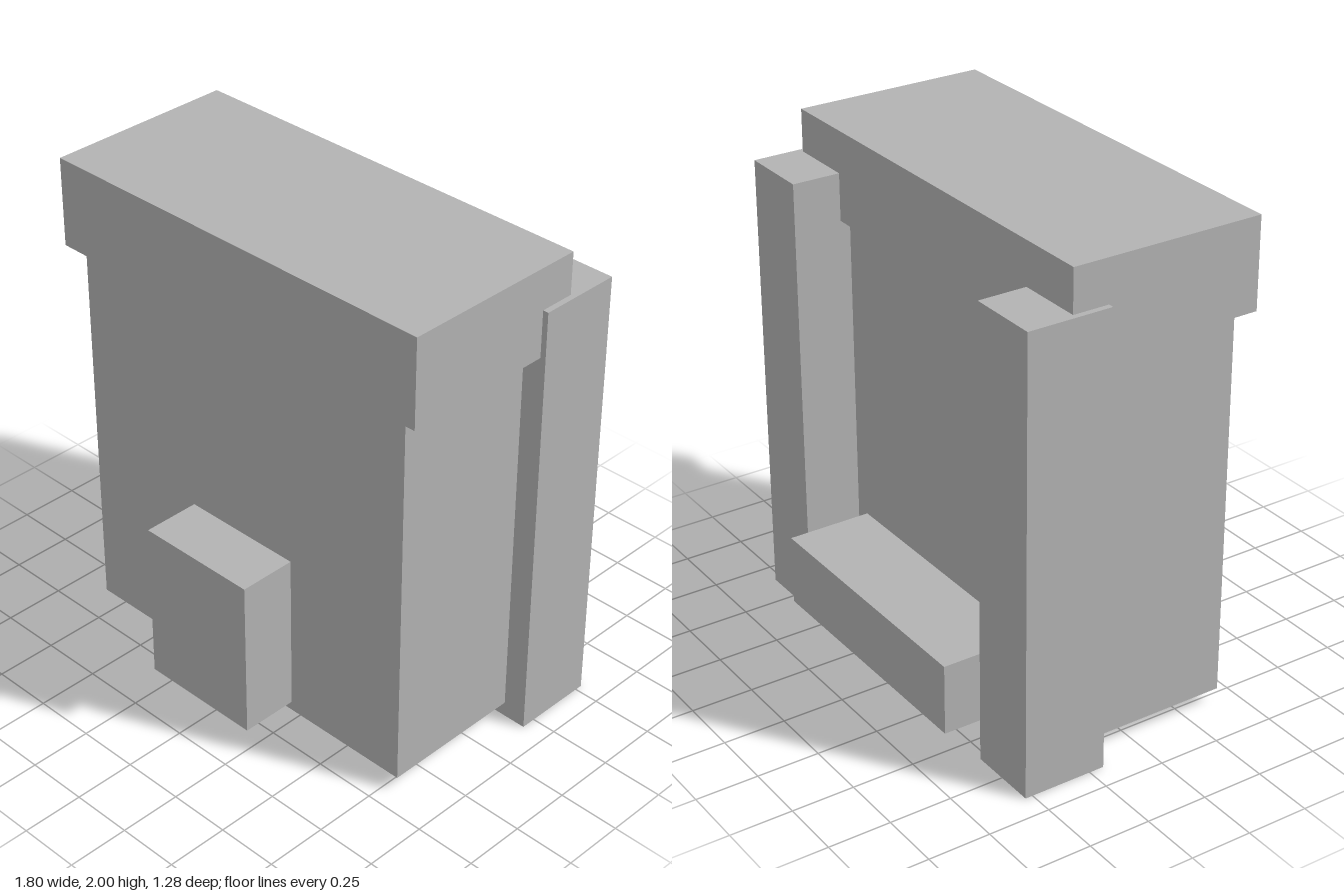
import * as THREE from 'three';

const grey = new THREE.MeshStandardMaterial({ color: 0xb2b2b2 });
grey.name = 'grey';

// Box given by its lower and upper limits on each axis
function block(name, [x0, x1], [y0, y1], [z0, z1]) {
  const mesh = new THREE.Mesh(new THREE.BoxGeometry(x1 - x0, y1 - y0, z1 - z0), grey);
  mesh.position.set((x0 + x1) / 2, (y0 + y1) / 2, (z0 + z1) / 2);
  mesh.name = name;
  return mesh;
}

export function createModel() {
  const model = new THREE.Group();
  model.name = 'model';

  // Main body with an overhanging cap
  model.add(block('body', [-0.803, 0.803], [0.062, 1.64], [-0.295, 0.407]));
  model.add(block('cap', [-0.877, 0.877], [1.64, 2], [-0.335, 0.443]));

  // Panel at the front, bar at the back
  model.add(block('frontPanel', [-0.256, 0.256], [0.1, 0.76], [0.407, 0.64]));
  model.add(block('rearBar', [-0.547, 0.547], [0.117, 0.403], [-0.64, -0.295]));

  // Mirrored posts at the rear corners
  model.add(block('leftPost', [0.61, 0.9], [0, 1.83], [-0.53, -0.19]));
  model.add(block('rightPost', [-0.9, -0.61], [0, 1.83], [-0.53, -0.19]));

  return model;
}
